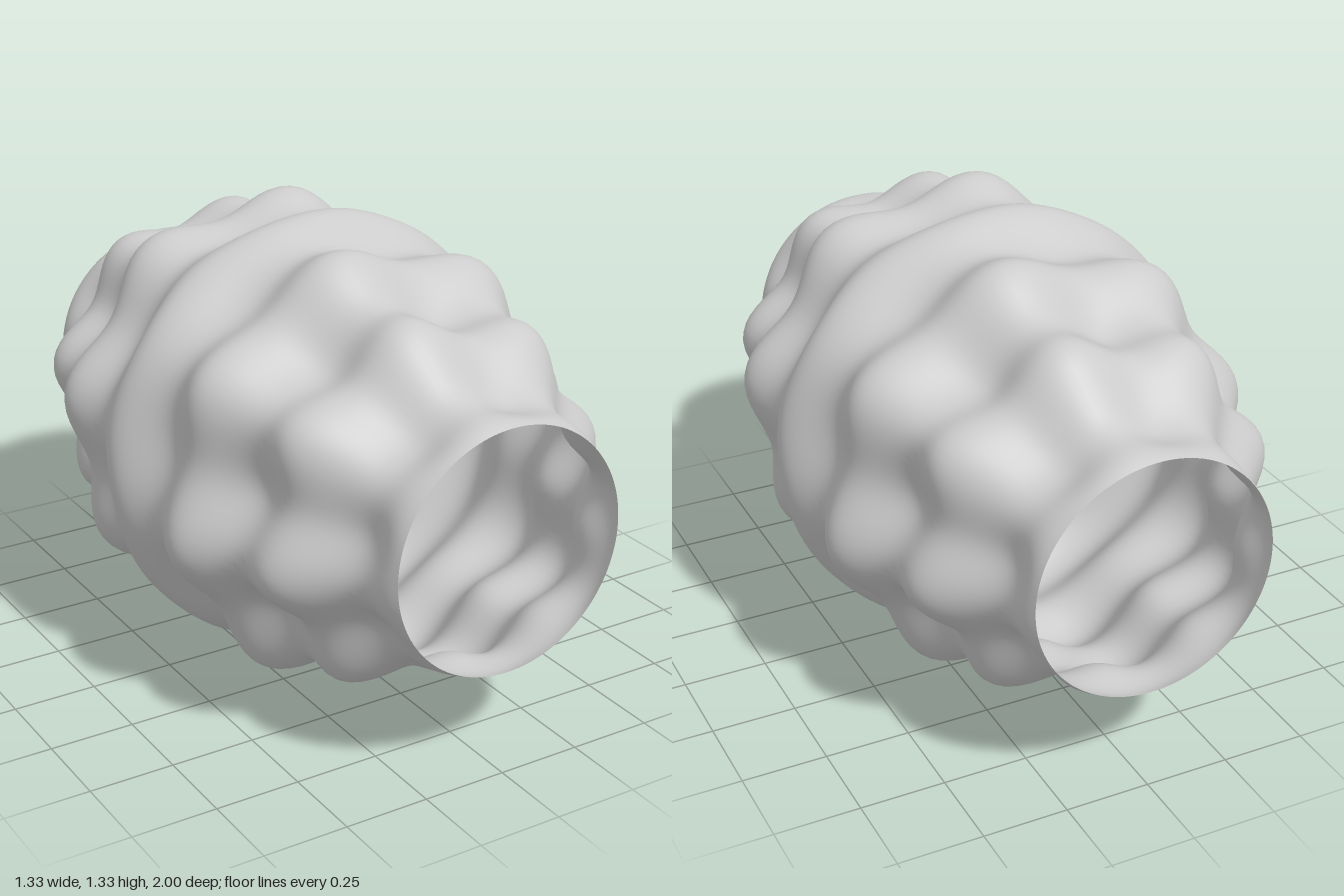
import * as THREE from 'three';
import { mergeVertices } from 'three/addons/utils/BufferGeometryUtils.js';

const CENTRE_Y = 0.667;

// Radius of the shell: barrel swell + rings along the axis + eight lobes
// that fade out at the middle and at both open rims.
function shellRadius(angle, z) {
  const swell = 0.324 + 0.312 * Math.cos((Math.PI * z) / 2);
  const rings = 0.03 * Math.cos(6 * Math.PI * z);
  const lobes = 0.04 * Math.sin(8 * angle) * Math.sin(Math.PI * z);
  return swell + rings + lobes;
}

export function createModel() {
  const group = new THREE.Group();
  group.name = 'rippledBarrel';

  // Open tube along z, each vertex pushed out to the shell radius
  let geometry = new THREE.CylinderGeometry(1, 1, 2, 128, 128, true);
  geometry.rotateX(Math.PI / 2);
  const pos = geometry.attributes.position;
  for (let i = 0; i < pos.count; i++) {
    const z = pos.getZ(i);
    const angle = Math.atan2(pos.getY(i), pos.getX(i));
    const r = shellRadius(angle, z);
    pos.setXYZ(i, r * Math.cos(angle), CENTRE_Y + r * Math.sin(angle), z);
  }

  // Weld the seam so the shading runs smoothly all round
  geometry.deleteAttribute('uv');
  geometry.deleteAttribute('normal');
  geometry = mergeVertices(geometry, 1e-5);
  geometry.computeVertexNormals();

  const material = new THREE.MeshStandardMaterial({ color: 0xcccccc, side: THREE.DoubleSide });
  const shell = new THREE.Mesh(geometry, material);
  shell.name = 'rippledShell';
  group.add(shell);
  return group;
}
